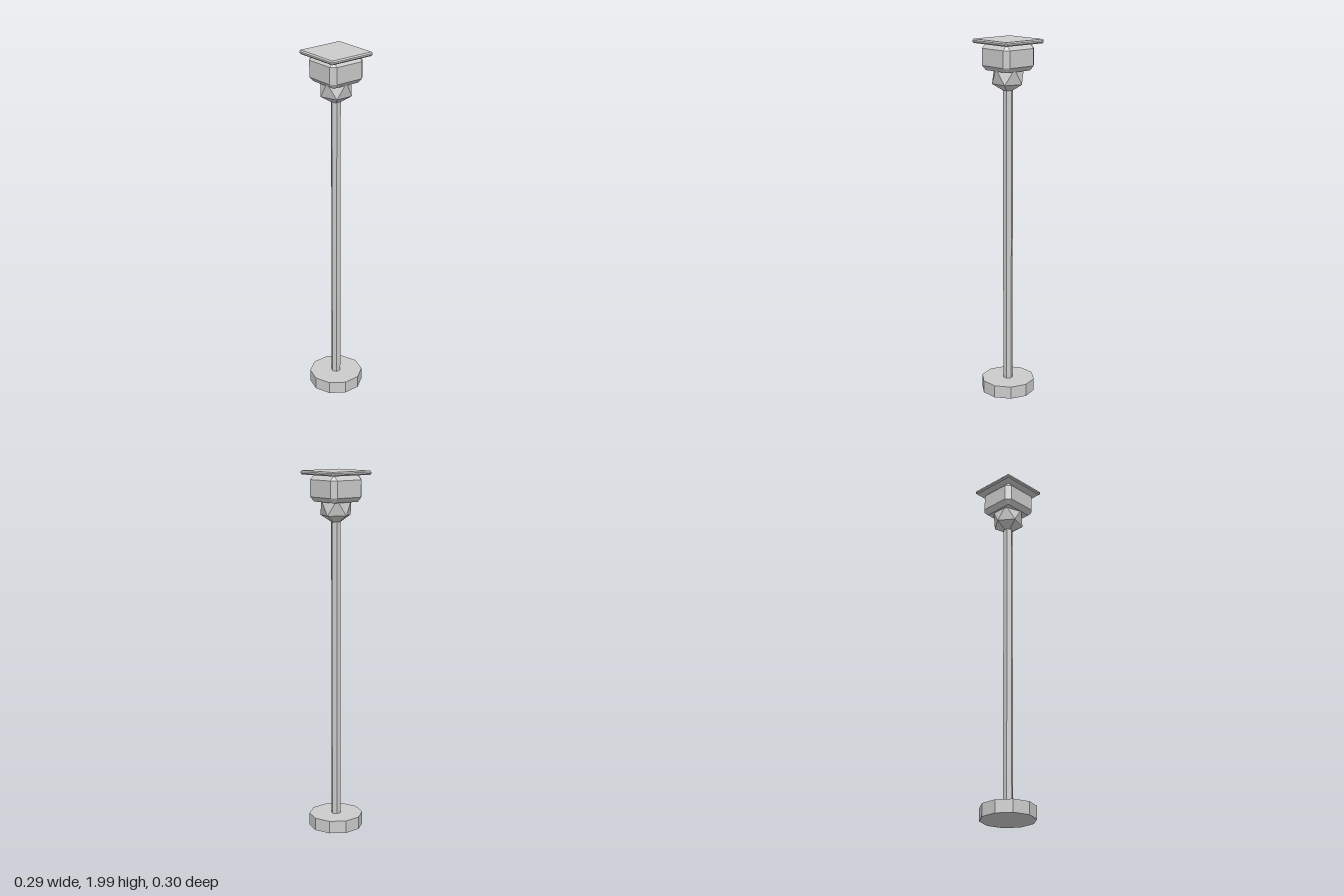
import * as THREE from 'three';
import { ConvexGeometry } from 'three/addons/geometries/ConvexGeometry.js';

const material = new THREE.MeshStandardMaterial({ color: 0xcccccc, flatShading: true });

// Box with every edge cut by a single flat bevel
function bevelledBox(w, h, d, bevel) {
  const half = [w / 2, h / 2, d / 2];
  const points = [];
  for (const sx of [-1, 1]) for (const sy of [-1, 1]) for (const sz of [-1, 1]) {
    for (let full = 0; full < 3; full++) {
      const [x, y, z] = half.map((v, i) => (i === full ? v : v - bevel));
      points.push(new THREE.Vector3(sx * x, sy * y, sz * z));
    }
  }
  return new ConvexGeometry(points);
}

export function createModel() {
  const model = new THREE.Group();
  model.name = 'postLamp';

  const add = (name, geometry, y) => {
    const mesh = new THREE.Mesh(geometry, material);
    mesh.name = name;
    mesh.position.y = y;
    model.add(mesh);
  };

  // Ten-sided foot
  add('base', new THREE.CylinderGeometry(0.15, 0.15, 0.07, 10), 0.05);

  // Slender six-sided pole, running up into the bulb
  add('pole', new THREE.CylinderGeometry(0.027, 0.027, 1.72, 6), 0.92);

  // Faceted bulb, turned so that it stands on a corner
  const bulb = new THREE.IcosahedronGeometry(0.095, 0);
  bulb.rotateZ(-Math.atan(2 / (1 + Math.sqrt(5))));
  add('bulb', bulb, 1.807);

  // Bevelled housing and thin top plate
  add('housing', bevelledBox(0.218, 0.143, 0.218, 0.026), 1.907);
  add('topPlate', bevelledBox(0.272, 0.022, 0.272, 0.007), 1.989);

  return model;
}
